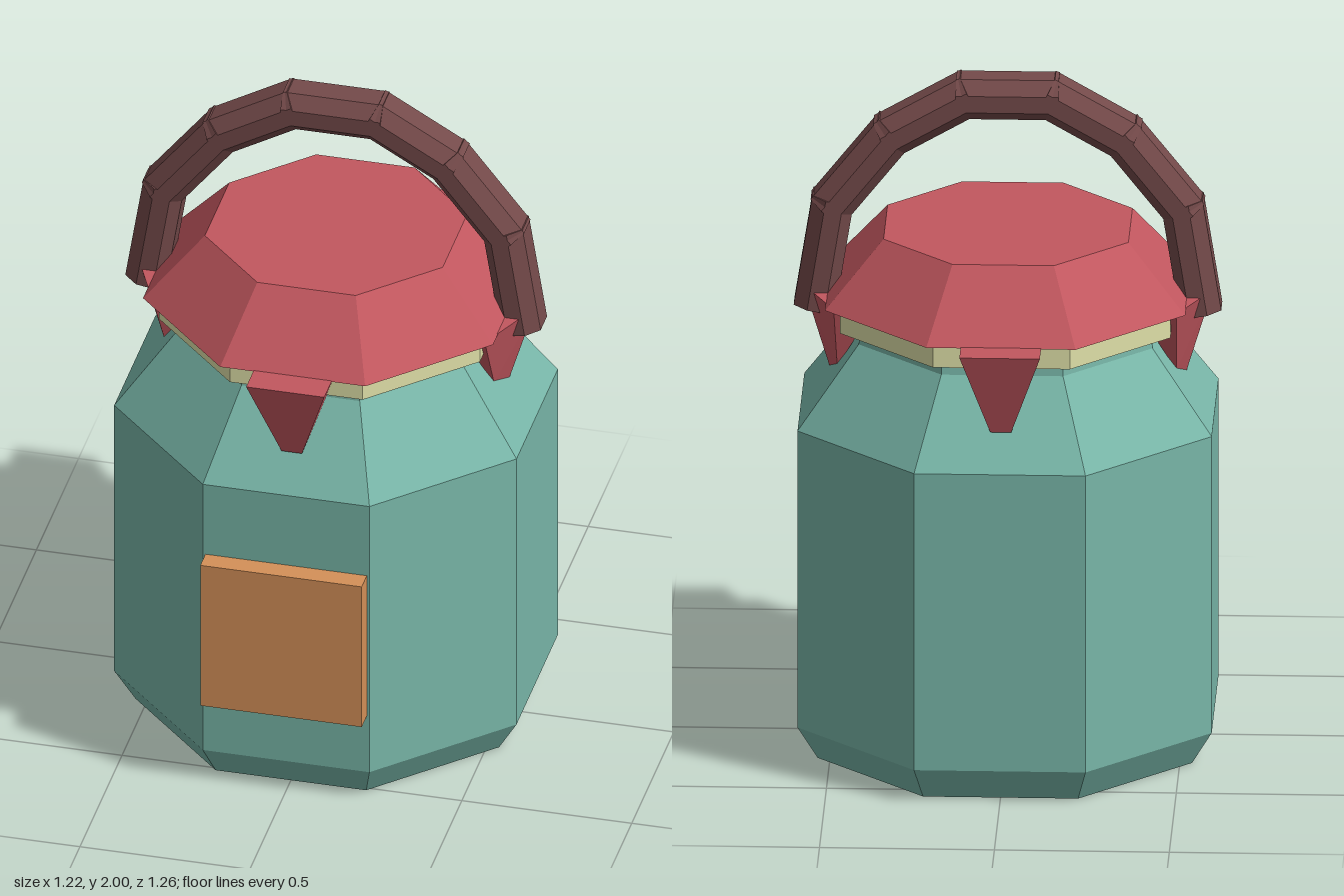
import * as THREE from 'three';
import { ConvexGeometry } from 'three/addons/geometries/ConvexGeometry.js';

const CZ = -0.023; // the jar's axis sits slightly behind the origin

const paint = (name, color) => {
  const m = new THREE.MeshStandardMaterial({ color });
  m.name = name;
  return m;
};

// Give every face its own normal
function faceted(geo) {
  const g = geo.index ? geo.toNonIndexed() : geo;
  g.computeVertexNormals();
  return g;
}

// Eight-sided turned part; profile is [distance to flat side, y], bottom to top
function octagon(profile) {
  const pts = profile.map(([a, y]) => new THREE.Vector2(a / Math.cos(Math.PI / 8), y));
  return faceted(new THREE.LatheGeometry(pts, 8, Math.PI / 8));
}

export function createModel() {
  const teal = paint('teal glaze', 0x78b6a8);
  const cream = paint('cream rim', 0xdfe0a8);
  const red = paint('red cloth', 0xc2575f);
  const brown = paint('brown handle', 0x744a4a);
  const orange = paint('orange label', 0xd49058);

  const model = new THREE.Group();
  model.name = 'jar';
  const add = (name, geo, mat, parent = model) => {
    const mesh = new THREE.Mesh(geo, mat);
    mesh.name = name;
    parent.add(mesh);
    return mesh;
  };

  // Jar body, neck rim and lid share one axis
  const turned = new THREE.Group();
  turned.name = 'turnedParts';
  turned.position.z = CZ;
  model.add(turned);
  add('body', octagon([[0, 0], [0.535, 0], [0.592, 0.1], [0.592, 1], [0.42, 1.24], [0.415, 1.3], [0, 1.3]]), teal, turned);
  add('rim', octagon([[0, 1.28], [0.472, 1.28], [0.472, 1.36], [0, 1.36]]), cream, turned);
  add('lid', octagon([[0, 1.355], [0.515, 1.355], [0.35, 1.55], [0, 1.55]]), red, turned);

  // Cloth flaps, built facing +z: plain wedges front and back, ridged ones at the sides
  const mirror = (list) => list.flatMap(([x, y, z]) => [new THREE.Vector3(x, y, z), new THREE.Vector3(-x, y, z)]);
  const wedge = faceted(new ConvexGeometry(mirror([
    [0.115, 1.357, 0.603], [0.115, 1.357, 0.37], [0.03, 1.105, 0.525], [0.03, 1.105, 0.505],
  ])));
  const ridged = faceted(new ConvexGeometry(mirror([
    [0.21, 1.357, 0.49], [0.12, 1.357, 0.36], [0.08, 1.14, 0.485],
  ]).concat([new THREE.Vector3(0, 1.357, 0.585), new THREE.Vector3(0, 1.11, 0.51)])));
  ['frontFlap', 'leftFlap', 'backFlap', 'rightFlap'].forEach((name, i) => {
    add(name, i % 2 ? ridged : wedge, red, turned).rotation.y = i * Math.PI / 2;
  });

  // Label plate on the front
  const label = add('label', new THREE.BoxGeometry(0.475, 0.475, 0.07), orange);
  label.position.set(0, 0.527, 0.595);

  // Arched handle made of seven overlapping chamfered bars
  const handle = new THREE.Group();
  handle.name = 'handle';
  handle.position.z = CZ - 0.002;
  model.add(handle);
  const section = new THREE.Shape([
    [-0.038, 0.06], [-0.07, 0.02], [-0.07, -0.03], [-0.038, -0.06],
    [0.038, -0.06], [0.07, -0.03], [0.07, 0.02], [0.038, 0.06],
  ].map(([x, y]) => new THREE.Vector2(x, y)));
  const half = [[-0.552, 1.3], [-0.502, 1.61], [-0.335, 1.82], [-0.125, 1.94]];
  const path = [...half, ...half.map(([x, y]) => [-x, y]).reverse()]
    .map(([x, y]) => new THREE.Vector3(x, y, 0));
  for (let i = 0; i < path.length - 1; i++) {
    const along = path[i + 1].clone().sub(path[i]);
    const length = along.length();
    along.normalize();
    const out = new THREE.Vector3(-along.y, along.x, 0);
    const across = out.clone().cross(along);
    const before = i === 0 ? 0 : 0.022;
    const after = i === path.length - 2 ? 0 : 0.022;
    const geo = new THREE.ExtrudeGeometry(section, { depth: length + before + after, bevelEnabled: false });
    geo.translate(0, 0, -before);
    geo.applyMatrix4(new THREE.Matrix4().makeBasis(across, out, along).setPosition(path[i]));
    add('handleBar' + (i + 1), faceted(geo), brown, handle);
  }

  return model;
}
